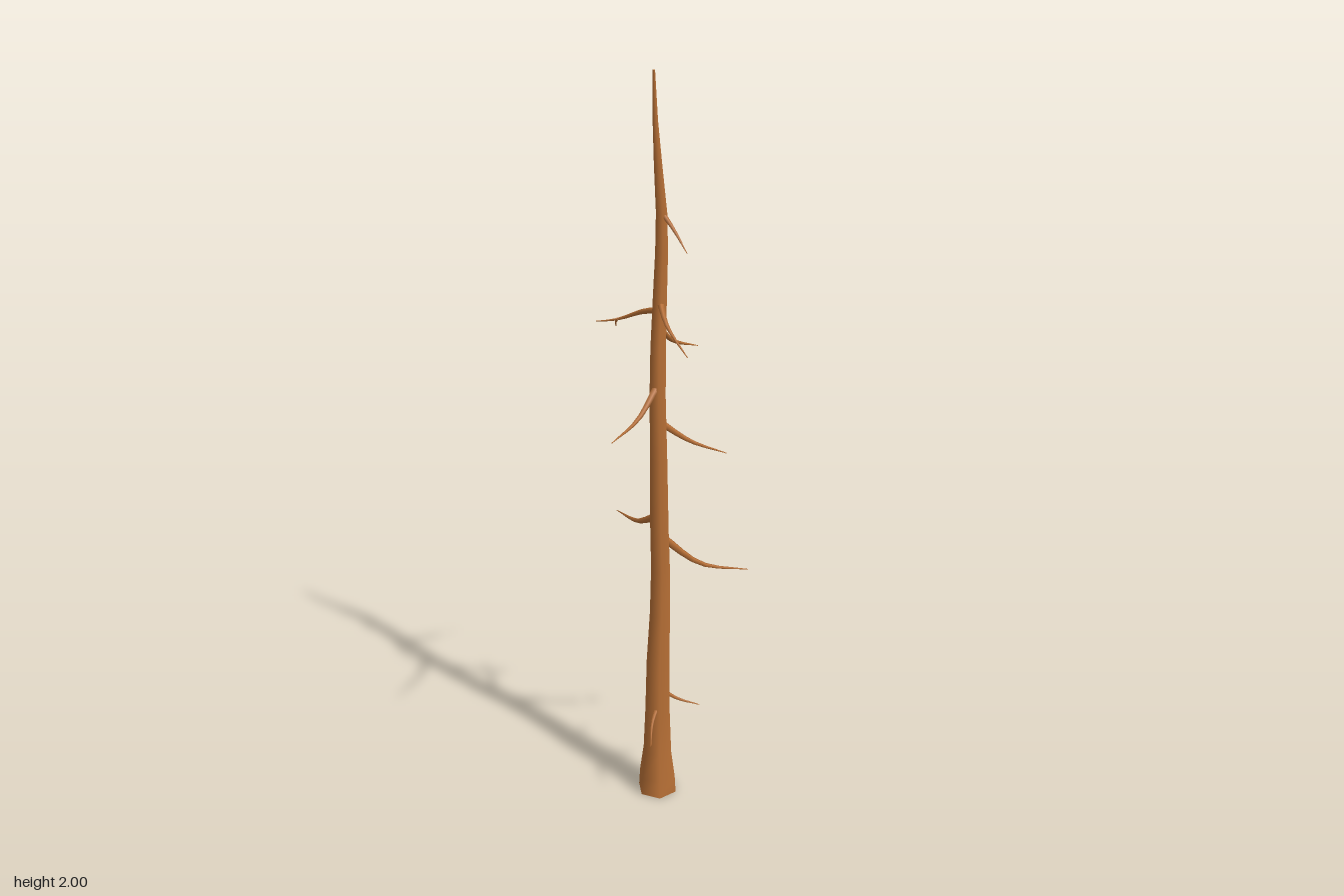
import * as THREE from 'three';

const bark = new THREE.MeshStandardMaterial({ color: 0xb87036 });
bark.name = 'bark';

const vec = (p) => new THREE.Vector3(p[0], p[1], p[2]);

// Skin of rings: each ring has a centre c, radius r and two axes u, v (u x v points along the limb)
function skin(rings, sides) {
  const pos = [], idx = [];
  const addRing = ({ c, r, u, v }) => {
    for (let j = 0; j < sides; j++) {
      const a = (j / sides) * Math.PI * 2;
      const p = c.clone().addScaledVector(u, r * Math.cos(a)).addScaledVector(v, r * Math.sin(a));
      pos.push(p.x, p.y, p.z);
    }
  };
  rings.forEach(addRing);
  for (let i = 0; i < rings.length - 1; i++) {
    for (let j = 0; j < sides; j++) {
      const k = (j + 1) % sides;
      const a = i * sides + j, b = i * sides + k;
      idx.push(a, b, b + sides, a, b + sides, a + sides);
    }
  }
  // flat end caps with their own corners, so the rims stay sharp
  [rings[0], rings[rings.length - 1]].forEach((ring, end) => {
    const s = pos.length / 3;
    addRing(ring);
    for (let j = 1; j < sides - 1; j++) {
      if (end) idx.push(s, s + j, s + j + 1);
      else idx.push(s, s + j + 1, s + j);
    }
  });
  const g = new THREE.BufferGeometry();
  g.setAttribute('position', new THREE.Float32BufferAttribute(pos, 3));
  g.setIndex(idx);
  g.computeVertexNormals();
  return g;
}

// Tapering limb along a smooth curve
function limb(points, r0, r1, steps = 7) {
  const curve = new THREE.CatmullRomCurve3(points.map(vec));
  const f = curve.computeFrenetFrames(steps);
  const rings = [];
  for (let i = 0; i <= steps; i++) {
    const t = i / steps;
    rings.push({ c: curve.getPointAt(t), r: r0 + (r1 - r0) * t, u: f.normals[i], v: f.binormals[i] });
  }
  return skin(rings, 5);
}

// Trunk sections: x, y, z, radius
const TRUNK = [
  [-0.026, 0, 0.067, 0.055], [-0.026, 0.05, 0.067, 0.052], [-0.026, 0.13, 0.067, 0.041],
  [-0.025, 0.25, 0.066, 0.036], [-0.024, 0.4, 0.066, 0.033], [-0.016, 0.55, 0.064, 0.029],
  [-0.013, 0.68, 0.062, 0.027], [-0.017, 0.8, 0.062, 0.026], [-0.024, 1.0, 0.067, 0.024],
  [-0.027, 1.18, 0.066, 0.022], [-0.021, 1.3, 0.06, 0.021], [-0.015, 1.42, 0.058, 0.019],
  [-0.011, 1.55, 0.06, 0.017], [-0.012, 1.65, 0.061, 0.015], [-0.026, 1.77, 0.065, 0.011],
  [-0.037, 1.88, 0.068, 0.007], [-0.043, 2, 0.07, 0.003],
];

// Branches: root radius and path, with an optional side twig starting at the fork
const BRANCHES = [
  { r: 0.007, path: [[-0.011, 1.65, 0.062], [-0.008, 1.62, 0.1], [-0.006, 1.57, 0.153]] },
  { r: 0.009, path: [[-0.016, 1.425, 0.06], [-0.044, 1.385, 0.125], [-0.049, 1.33, 0.212]] },
  { r: 0.009, path: [[-0.012, 1.4, 0.05], [-0.02, 1.385, 0], [-0.046, 1.345, -0.084], [-0.076, 1.335, -0.128]],
    twig: [[-0.044, 1.349, -0.078], [-0.04, 1.335, -0.092], [-0.031, 1.32, -0.103]] },
  { r: 0.01, path: [[-0.018, 1.36, 0.058], [0.05, 1.3, 0.033], [0.142, 1.262, 0.016]] },
  { r: 0.01, path: [[-0.026, 1.21, 0.066], [-0.115, 1.148, 0.1], [-0.23, 1.13, 0.146]] },
  { r: 0.01, path: [[-0.025, 1.11, 0.068], [0.05, 1.048, 0.105], [0.13, 1.01, 0.153]] },
  { r: 0.012, path: [[-0.016, 0.835, 0.055], [0.013, 0.763, -0.075], [0.049, 0.73, -0.215]] },
  { r: 0.012, path: [[-0.014, 0.78, 0.063], [0.1, 0.675, 0.096], [0.228, 0.635, 0.137]] },
  { r: 0.006, path: [[-0.02, 0.37, 0.05], [0.004, 0.345, 0], [0.028, 0.31, -0.047]],
    twig: [[0.004, 0.346, 0], [0.015, 0.344, -0.012], [0.022, 0.35, -0.024]] },
  { r: 0.007, path: [[-0.02, 0.32, 0.07], [0.022, 0.285, 0.095], [0.07, 0.265, 0.13]] },
  { r: 0.007, path: [[-0.03, 0.275, 0.075], [-0.075, 0.248, 0.107], [-0.107, 0.207, 0.143]] },
];

export function createModel() {
  const tree = new THREE.Group();
  tree.name = 'bareTree';
  const add = (name, geometry) => {
    const mesh = new THREE.Mesh(geometry, bark);
    mesh.name = name;
    tree.add(mesh);
  };

  // six-sided trunk, flared at the foot
  const u = new THREE.Vector3(1, 0, 0), v = new THREE.Vector3(0, 0, -1);
  add('trunk', skin(TRUNK.map((p) => ({ c: vec(p), r: p[3], u, v })), 6));

  // drooping branches and their forks
  BRANCHES.forEach(({ r, path, twig }, i) => {
    add(`branch${i + 1}`, limb(path, r, 0.001));
    if (twig) add(`twig${i + 1}`, limb(twig, r * 0.45, 0.001, 4));
  });
  return tree;
}
